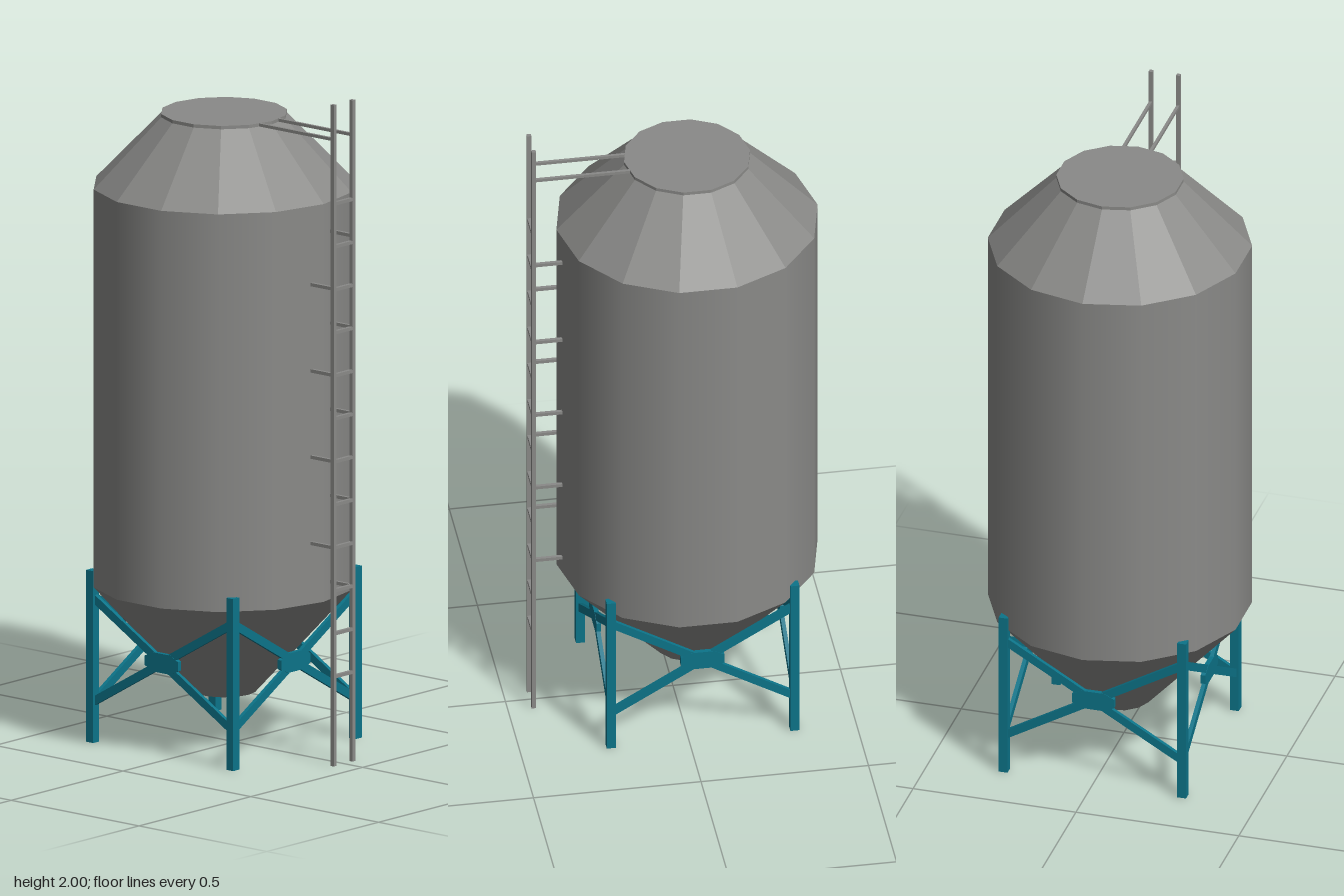
import * as THREE from 'three';

export function createModel() {
  const silo = new THREE.Group();
  silo.name = 'silo';

  const steel = new THREE.MeshStandardMaterial({ color: 0x8a8a88 });
  steel.name = 'grey steel';
  const teal = new THREE.MeshStandardMaterial({ color: 0x0c7489 });
  teal.name = 'teal paint';

  const add = (parent, name, geometry, material, x = 0, y = 0, z = 0) => {
    const mesh = new THREE.Mesh(geometry, material);
    mesh.name = name;
    mesh.position.set(x, y, z);
    parent.add(mesh);
    return mesh;
  };
  const box = (w, h, d) => new THREE.BoxGeometry(w, h, d);

  // Tank: fourteen sides, smooth wall, faceted cones
  const SIDES = 14, TANK_X = -0.042, R = 0.39;
  const tank = new THREE.Group();
  tank.name = 'tank';
  tank.position.x = TANK_X;
  silo.add(tank);

  const ring = (name, rTop, rBottom, y0, y1, open, faceted) => {
    let g = new THREE.CylinderGeometry(rTop, rBottom, y1 - y0, SIDES, 1, open, Math.PI / 2);
    if (faceted) {
      g = g.toNonIndexed();
      g.computeVertexNormals();
    }
    return add(tank, name, g, steel, 0, (y0 + y1) / 2, 0);
  };
  ring('wall', R, R, 0.477, 1.68, true, false);
  ring('roofCone', 0.185, R, 1.68, 1.893, true, true);
  ring('lid', 0.188, 0.188, 1.89, 1.9, false, true);
  ring('hopper', R, 0.095, 0.15, 0.477, false, true);

  // Stand: four legs, with a braced panel on each side
  const stand = new THREE.Group();
  stand.name = 'stand';
  stand.position.x = TANK_X;
  silo.add(stand);

  const LEG = 0.274, MID = 0.28, RISE = 0.16;
  const braceLength = Math.hypot(2 * LEG, 2 * RISE);
  const braceAngle = Math.atan2(RISE, LEG);

  // Eight-cornered plate where the braces cross
  const plate = new THREE.Shape([
    [-0.035, 0.029], [-0.065, 0.014], [-0.065, -0.014], [-0.035, -0.029],
    [0.035, -0.029], [0.065, -0.014], [0.065, 0.014], [0.035, 0.029],
  ].map(([x, y]) => new THREE.Vector2(x, y)));
  const plateGeometry = new THREE.ExtrudeGeometry(plate, { depth: 0.014, bevelEnabled: false });
  plateGeometry.translate(0, 0, -0.007);

  for (let i = 0; i < 4; i++) {
    const side = new THREE.Group();
    side.name = 'standSide';
    side.rotation.y = i * Math.PI / 2;
    stand.add(side);
    add(side, 'leg', box(0.027, 0.52, 0.027), teal, LEG, 0.26, LEG);
    for (const s of [-1, 1]) {
      const brace = add(side, 'brace', box(braceLength, 0.025, 0.012), teal, 0, MID, LEG);
      brace.rotation.z = s * braceAngle;
    }
    add(side, 'crossPlate', plateGeometry, teal, 0, MID, LEG);
  }

  // Ladder on the left side of the tank
  const ladder = new THREE.Group();
  ladder.name = 'ladder';
  silo.add(ladder);

  const LADDER_X = 0.423, RAIL_Z = 0.042;
  for (const s of [-1, 1]) {
    add(ladder, 'ladderRail', box(0.013, 2, 0.012), steel, LADDER_X, 1, s * RAIL_Z);
    add(ladder, 'topBar', box(0.293, 0.009, 0.009), steel, 0.2765, 1.895, s * RAIL_Z);
  }
  for (let i = 0; i < 12; i++) {
    add(ladder, 'rung', box(0.011, 0.01, 2 * RAIL_Z), steel, LADDER_X, 0.27 + i * 0.13, 0);
  }
  // Wall brackets alternate between the two rails
  for (let i = 0; i < 9; i++) {
    const z = i % 2 ? RAIL_Z : -RAIL_Z;
    const y = i === 8 ? 1.59 : 0.53 + i * 0.1305;
    add(ladder, 'wallBracket', box(0.09, 0.01, 0.01), steel, 0.378, y, z);
  }

  return silo;
}
